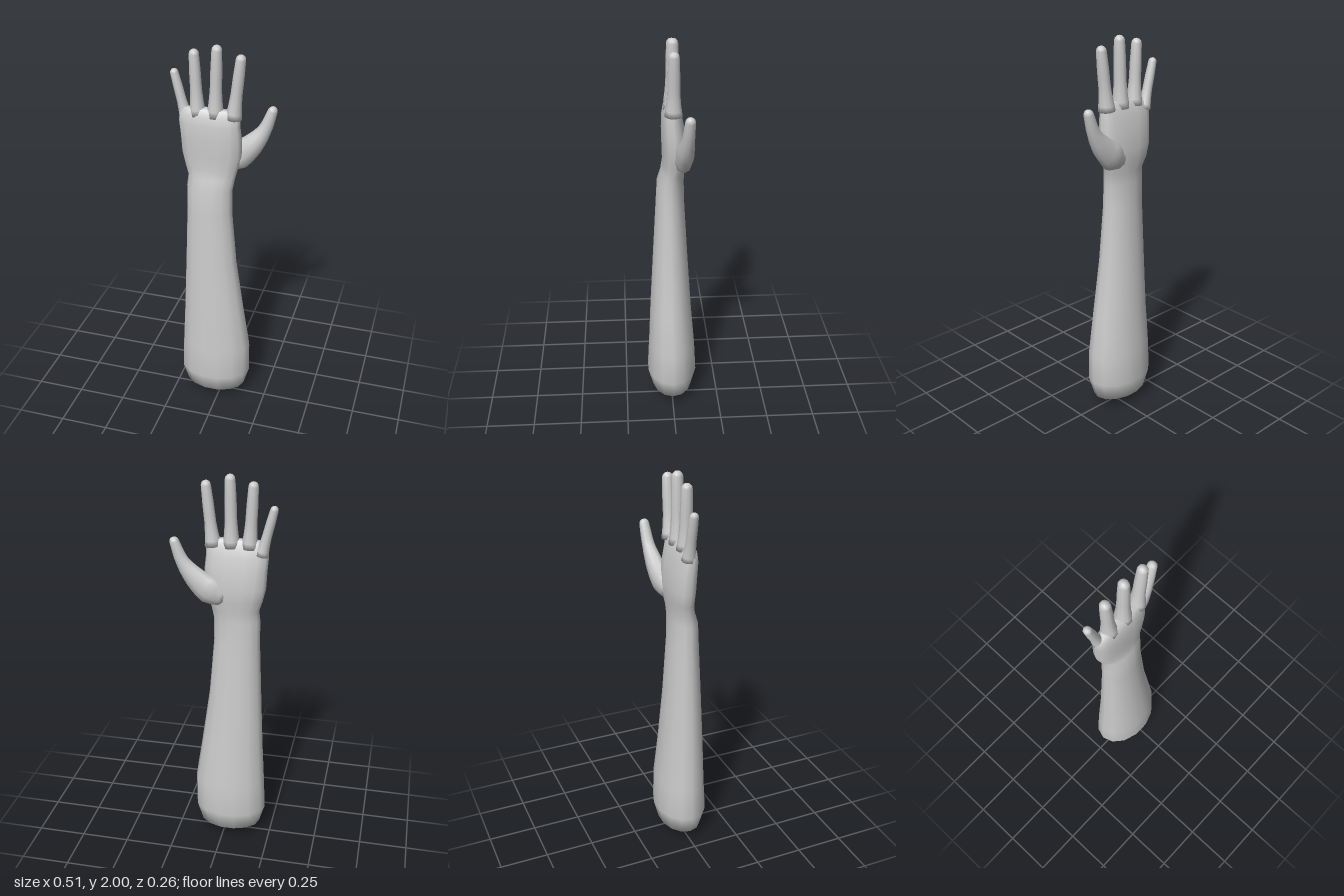
import * as THREE from 'three';
import { mergeVertices } from 'three/addons/utils/BufferGeometryUtils.js';

const material = new THREE.MeshStandardMaterial({ color: 0xcccccc, roughness: 0.8 });
const V = (x, y, z) => new THREE.Vector3(x, y, z);

// Skin over a row of rings; each ring has a centre c, two half-axes a and b, and a squareness p
function loft(name, rings, sides) {
  const pos = [], idx = [];
  for (const { c, a, b, p = 1 } of rings) {
    for (let j = 0; j < sides; j++) {
      const t = (j / sides) * Math.PI * 2;
      const bend = (n) => Math.sign(n) * Math.pow(Math.abs(n), p);
      const v = c.clone().addScaledVector(a, bend(Math.cos(t))).addScaledVector(b, bend(Math.sin(t)));
      pos.push(v.x, v.y, v.z);
    }
  }
  for (let i = 0; i < rings.length - 1; i++) {
    for (let j = 0; j < sides; j++) {
      const k = (j + 1) % sides;
      const p = i * sides + j, q = i * sides + k;
      idx.push(p, q, p + sides, q, q + sides, p + sides);
    }
  }
  let geo = new THREE.BufferGeometry();
  geo.setAttribute('position', new THREE.Float32BufferAttribute(pos, 3));
  geo.setIndex(idx);
  geo = mergeVertices(geo, 1e-5);
  geo.computeVertexNormals();
  const mesh = new THREE.Mesh(geo, material);
  mesh.name = name;
  return mesh;
}

// Upright section: height, x range, z range, squareness
const section = ([y, x0, x1, z0, z1, p = 1]) => ({
  c: V((x0 + x1) / 2, y, (z0 + z1) / 2),
  a: V((x1 - x0) / 2, 0, 0),
  b: V(0, 0, -(z1 - z0) / 2),
  p,
});

// Digit along a smooth path of [x, y, z, half width, half depth], with a rounded tip
function digit(name, stations, steps = 8) {
  const curve = new THREE.CatmullRomCurve3(stations.map((s) => V(s[0], s[1], s[2])));
  const n = stations.length - 1;
  const ring = (t, scale, push) => {
    const f = Math.min(t * n, n - 1e-6), i = Math.floor(f), k = f - i;
    const size = (m) => THREE.MathUtils.lerp(stations[i][m], stations[i + 1][m], k);
    const d = curve.getTangent(t);
    const b = V(0, 0, -1).addScaledVector(d, d.z).normalize();
    const a = b.clone().cross(d);
    return {
      c: curve.getPoint(t).addScaledVector(d, push * size(3)),
      a: a.multiplyScalar(size(3) * scale),
      b: b.multiplyScalar(size(4) * scale),
    };
  };
  const rings = [ring(0, 0, 0)];
  for (let i = 0; i <= steps; i++) rings.push(ring(i / steps, 1, 0));
  for (const deg of [30, 60, 90]) {
    const r = THREE.MathUtils.degToRad(deg);
    rings.push(ring(1, deg === 90 ? 0 : Math.cos(r), Math.sin(r)));
  }
  return loft(name, rings, 10);
}

export function createModel() {
  const group = new THREE.Group();
  group.name = 'forearmAndHand';

  // Forearm from the closed elbow end, through the wrist, up to the knuckles
  group.add(loft('forearmAndPalm', [
    [0, -0.03, -0.03, 0, 0],
    [0.06, -0.19, 0.13, -0.108, 0.106],
    [0.16, -0.22, 0.16, -0.133, 0.133],
    [0.33, -0.213, 0.16, -0.124, 0.124],
    [0.55, -0.2, 0.127, -0.105, 0.114],
    [0.85, -0.187, 0.085, -0.085, 0.097],
    [1.15, -0.175, 0.06, -0.067, 0.08],
    [1.27, -0.175, 0.06, -0.063, 0.073],
    [1.33, -0.17, 0.07, -0.064, 0.055],
    [1.38, -0.187, 0.082, -0.072, 0.046, 0.9],
    [1.45, -0.203, 0.1, -0.076, 0.048, 0.85],
    [1.54, -0.207, 0.102, -0.068, 0.05, 0.8],
    [1.61, -0.212, 0.095, -0.053, 0.047, 0.75],
    [1.655, -0.208, 0.095, -0.04, 0.038, 0.75],
    [1.685, -0.185, 0.085, -0.024, 0.024, 0.75],
    [1.69, -0.05, -0.05, -0.005, -0.005],
  ].map(section), 14));

  // Four fingers: base and tip positions with half width
  const fingers = [
    ['littleFinger', -0.178, 1.62, -0.234, 1.845, 0.021, -0.015],
    ['ringFinger', -0.118, 1.65, -0.133, 1.947, 0.026, -0.006],
    ['middleFinger', -0.03, 1.65, -0.022, 1.975, 0.027, -0.005],
    ['indexFinger', 0.06, 1.65, 0.093, 1.941, 0.026, -0.005],
  ];
  for (const [name, x0, y0, x1, y1, r, z] of fingers) {
    const at = (t, w) => [x0 + (x1 - x0) * t, y0 + (y1 - y0) * t, z, r * w, r * w * 1.08];
    group.add(digit(name, [at(0, 1.6), at(0.2, 1.3), at(0.4, 1.12), at(0.7, 1.08), at(1, 0.95)], 8));
  }

  // Thumb with its fleshy base, swinging out from the palm
  group.add(digit('thumb', [
    [0.0, 1.4, -0.035, 0.05, 0.035],
    [0.07, 1.435, -0.052, 0.073, 0.046],
    [0.14, 1.5, -0.058, 0.056, 0.043],
    [0.198, 1.58, -0.066, 0.034, 0.031],
    [0.234, 1.679, -0.072, 0.024, 0.025],
  ], 12));

  return group;
}
